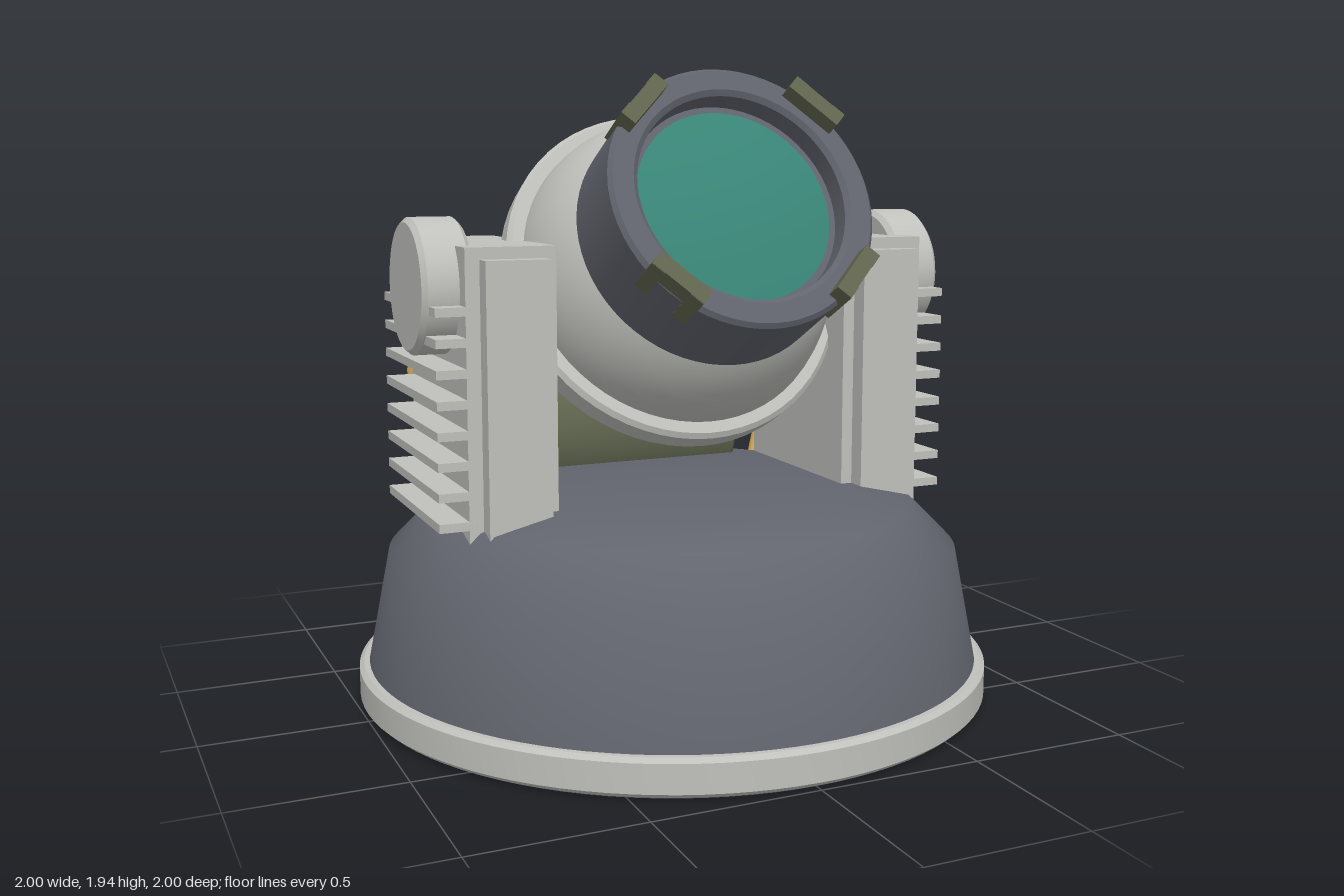
import * as THREE from 'three';
import { toCreasedNormals } from 'three/addons/utils/BufferGeometryUtils.js';

const mat = (name, color) => {
  const m = new THREE.MeshStandardMaterial({ color });
  m.name = name;
  return m;
};

export function createModel() {
  const model = new THREE.Group();
  model.name = 'sensorTurret';

  const lightGrey = mat('light grey', 0xc0c0bc);
  const slate = mat('slate', 0x62656e);
  const olive = mat('olive', 0x626750);
  const teal = mat('teal glass', 0x398577);
  const yellow = mat('yellow', 0xe5ba57);
  const dark = mat('dark underside', 0x4d4f56);

  const add = (parent, name, geometry, material, x = 0, y = 0, z = 0) => {
    const mesh = new THREE.Mesh(geometry, material);
    mesh.name = name;
    mesh.position.set(x, y, z);
    parent.add(mesh);
    return mesh;
  };
  const box = (w, h, d) => new THREE.BoxGeometry(w, h, d);
  // Revolved profile of [radius, height] pairs, with sharp edges kept
  const lathe = (profile, segments = 64, crease = 0.4) => toCreasedNormals(
    new THREE.LatheGeometry(profile.map(([r, y]) => new THREE.Vector2(r, y)), segments), crease);
  // Closed cylinder with chamfered ends, along y
  const drum = (r, h, c, segments = 48) => lathe([
    [0, -h / 2], [r - c, -h / 2], [r, -h / 2 + c], [r, h / 2 - c], [r - c, h / 2], [0, h / 2],
  ], segments);

  // Base
  add(model, 'baseRing', lathe([
    [0.96, 0.008], [0.985, 0.008], [1, 0.022], [1, 0.108], [0.985, 0.12], [0.94, 0.12],
  ], 96), lightGrey);
  add(model, 'underside', new THREE.CylinderGeometry(0.97, 0.97, 0.03, 96), dark, 0, 0.015, 0);
  add(model, 'baseDome', lathe([
    [0.97, 0.11], [0.9, 0.47], [0.76, 0.612], [0.6, 0.655], [0, 0.657],
  ], 96, 0.7), slate);

  // Tilted head: local y is the viewing axis
  const head = new THREE.Group();
  head.name = 'head';
  head.position.y = 1.31;
  head.rotation.x = THREE.MathUtils.degToRad(62);
  model.add(head);
  add(head, 'ball', new THREE.SphereGeometry(0.502, 64, 40), lightGrey);
  add(head, 'ballBand', lathe([
    [0.48, -0.05], [0.535, -0.05], [0.549, -0.036], [0.549, 0.036], [0.535, 0.05], [0.48, 0.05],
  ]), lightGrey);
  add(head, 'barrel', lathe([
    [0.408, 0.25], [0.408, 0.57], [0.396, 0.583], [0.335, 0.583], [0.32, 0.57], [0.32, 0.505], [0, 0.505],
  ]), slate);

  // Shallow domed lens
  const lensProfile = [];
  for (let i = 0; i <= 8; i++) {
    const r = 0.3 * (1 - i / 8);
    lensProfile.push([r, 0.507 + 0.03 * (1 - (r / 0.3) ** 2)]);
  }
  add(head, 'lens', lathe(lensProfile), teal);

  // Four clamps gripping the barrel rim
  for (let i = 0; i < 4; i++) {
    const clamp = new THREE.Group();
    clamp.name = 'rimClamp';
    clamp.rotation.y = Math.PI / 4 + i * Math.PI / 2;
    head.add(clamp);
    add(clamp, 'clampBar', box(0.178, 0.06, 0.048), olive, 0, 0.606, 0.384);
    for (const s of [-1, 1]) {
      add(clamp, 'clampProng', box(0.045, 0.145, 0.048), olive, s * 0.0665, 0.5625, 0.386);
    }
  }

  // Rear drum
  const rearDrum = add(model, 'rearDrum', drum(0.293, 0.8, 0.014, 64), olive, 0, 0.77, -0.63);
  rearDrum.rotation.z = Math.PI / 2;

  // Side supports with hubs, cooling fins and pipes
  for (const s of [-1, 1]) {
    const side = new THREE.Group();
    side.name = s > 0 ? 'leftSupport' : 'rightSupport';
    model.add(side);
    add(side, 'tower', box(0.272, 0.94, 0.615), lightGrey, s * 0.612, 0.965, -0.052);
    add(side, 'towerSpine', box(0.192, 0.9, 0.715), lightGrey, s * 0.609, 0.95, -0.043);
    const hub = add(side, 'hub', drum(0.203, 0.155, 0.015), lightGrey, s * 0.778, 1.31, 0);
    hub.rotation.z = Math.PI / 2;
    for (let i = 0; i < 8; i++) {
      add(side, 'coolingFin', box(0.12, 0.026, 0.595), lightGrey, s * 0.777, 0.635 + i * 0.0885, -0.041);
    }

    // Pipe with a tight bend
    const start = new THREE.Vector3(s * 0.59, 1.26, -0.36);
    const bend = new THREE.Vector3(s * 0.675, 0.985, -0.512);
    const end = new THREE.Vector3(s * 0.55, 0.56, -0.462);
    const a = bend.clone().lerp(start, 0.08);
    const b = bend.clone().lerp(end, 0.06);
    const path = new THREE.CurvePath();
    path.add(new THREE.LineCurve3(start, a));
    path.add(new THREE.QuadraticBezierCurve3(a, bend, b));
    path.add(new THREE.LineCurve3(b, end));
    add(side, 'pipe', new THREE.TubeGeometry(path, 48, 0.056, 20), yellow);
    add(side, 'pipeCap', new THREE.SphereGeometry(0.056, 20, 12), yellow, start.x, start.y, start.z);
  }

  return model;
}
